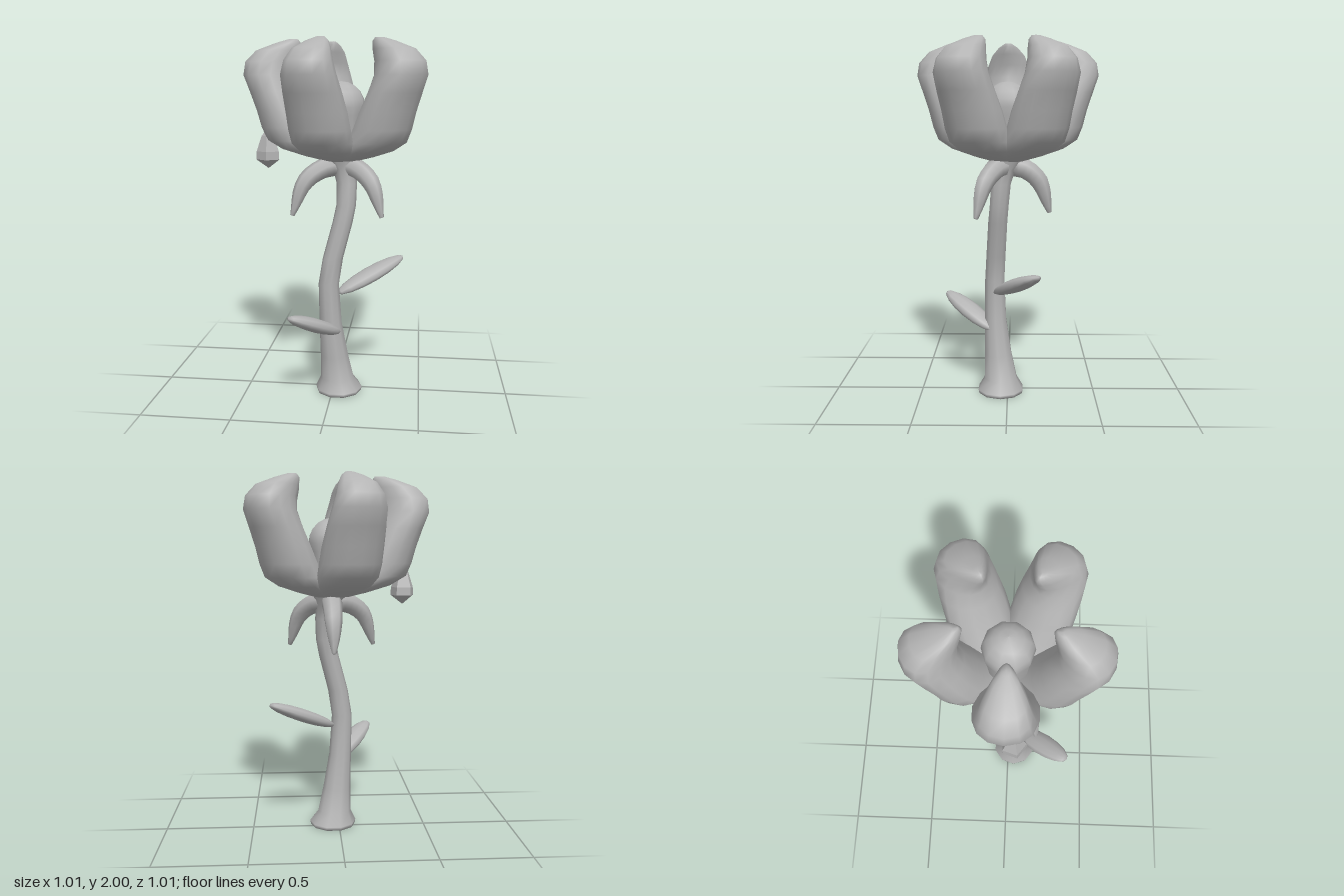
import * as THREE from 'three';

const V = (x, y, z) => new THREE.Vector3(x, y, z);

// Skin a list of equal-length rings (bottom to top) and close both ends.
function loft(rings) {
  const n = rings[0].length, pos = [], idx = [];
  rings.forEach(r => r.forEach(p => pos.push(p.x, p.y, p.z)));
  for (let i = 0; i < rings.length - 1; i++) {
    for (let j = 0; j < n; j++) {
      const a = i * n + j, b = i * n + (j + 1) % n;
      idx.push(a, a + n, b, b, a + n, b + n);
    }
  }
  [0, rings.length - 1].forEach(i => {
    const c = rings[i].reduce((s, p) => s.add(p), V(0, 0, 0)).divideScalar(n);
    const k = pos.length / 3;
    pos.push(c.x, c.y, c.z);
    for (let j = 0; j < n; j++) {
      const a = i * n + j, b = i * n + (j + 1) % n;
      if (i === 0) idx.push(k, a, b); else idx.push(k, b, a);
    }
  });
  const g = new THREE.BufferGeometry();
  g.setAttribute('position', new THREE.Float32BufferAttribute(pos, 3));
  g.setIndex(idx);
  g.computeVertexNormals();
  return g;
}

const ring = (n, f) => Array.from({ length: n }, (_, j) => {
  const a = j / n * Math.PI * 2;
  return f(Math.cos(a), Math.sin(a));
});

// Petal levels: height, inner reach, outer reach, half width, inward taper
const PETAL = [
  [1.345, 0.00, 0.10, 0.06, 0], [1.37, 0.02, 0.20, 0.11, 0],
  [1.41, 0.05, 0.33, 0.15, 0], [1.46, 0.09, 0.415, 0.165, 0],
  [1.53, 0.135, 0.445, 0.168, 0], [1.62, 0.18, 0.47, 0.165, 0],
  [1.72, 0.225, 0.505, 0.155, 0.1], [1.81, 0.255, 0.54, 0.14, 0.2],
  [1.88, 0.245, 0.53, 0.117, 0.3], [1.94, 0.225, 0.47, 0.09, 0.4],
  [1.98, 0.22, 0.36, 0.052, 0.4], [2.0, 0.235, 0.29, 0.02, 0.3],
];

// One petal leaning out from the flower axis in a given direction
function petalGeometry(degrees, reach) {
  const angle = THREE.MathUtils.degToRad(degrees);
  const ca = Math.cos(angle), sa = Math.sin(angle);
  return loft(PETAL.map(([y, ri, ro, w, k]) => ring(14, (c, s) => {
    const r = reach * ((ri + ro) / 2 + c * (ro - ri) / 2);
    const t = s * w * (1 + k * c);
    return V(0.04 + r * ca - t * sa, y, r * sa + t * ca);
  })));
}

// Round tapering sweep along a curve
function sweep(points, radii, n) {
  const curve = new THREE.CatmullRomCurve3(points);
  const steps = 10, fr = curve.computeFrenetFrames(steps, false), rings = [];
  for (let i = 0; i <= steps; i++) {
    const p = curve.getPointAt(i / steps);
    const q = i / steps * (radii.length - 1), k = Math.min(Math.floor(q), radii.length - 2);
    const r = THREE.MathUtils.lerp(radii[k], radii[k + 1], q - k);
    rings.push(ring(n, (c, s) => p.clone()
      .addScaledVector(fr.normals[i], c * r).addScaledVector(fr.binormals[i], -s * r)));
  }
  return loft(rings);
}

// Flattened oval leaf between two points, its broad side level
function leafGeometry(from, to, halfWidth, halfThick) {
  const axis = to.clone().sub(from), len = axis.length();
  axis.normalize();
  const side = axis.clone().cross(V(0, 1, 0)).normalize();
  const g = new THREE.SphereGeometry(1, 10, 8);
  g.scale(halfWidth, len / 2, halfThick);
  const m = new THREE.Matrix4().makeBasis(side, axis, side.clone().cross(axis));
  m.setPosition(from.clone().add(to).multiplyScalar(0.5));
  return g.applyMatrix4(m);
}

export function createModel() {
  const model = new THREE.Group();
  const grey = new THREE.MeshStandardMaterial({ color: 0xb4b4b4 });
  grey.name = 'plain grey';
  const add = (name, geometry) => {
    const mesh = new THREE.Mesh(geometry, grey);
    mesh.name = name;
    model.add(mesh);
    return mesh;
  };

  // Stem with flared foot: height, centre x, centre z, radius
  const stem = [
    [0, 0.035, 0.04, 0.13], [0.02, 0.035, 0.04, 0.134], [0.08, 0.025, 0.04, 0.096],
    [0.22, 0.01, 0.055, 0.08], [0.42, -0.01, 0.07, 0.064], [0.65, -0.02, 0.075, 0.058],
    [0.8, 0.003, 0.067, 0.057], [1.0, 0.055, 0.055, 0.056], [1.1, 0.075, 0.046, 0.055],
    [1.22, 0.077, 0.036, 0.057], [1.3, 0.065, 0.02, 0.066], [1.36, 0.045, 0.005, 0.1],
    [1.42, 0.04, 0, 0.12],
  ];
  add('stem', loft(stem.map(([y, x, z, r]) => ring(10, (c, s) => V(x + c * r, y, z + s * r)))));

  // Five petals: direction and reach
  [[180, 1], [34, 0.985], [-34, 0.985], [107.5, 0.963], [-107.5, 0.963]]
    .forEach(([degrees, reach]) => add('petal', petalGeometry(degrees, reach)));

  // Rounded flower centre
  const heart = [[0.1, 1.38], [0.115, 1.48]].map(p => new THREE.Vector2(...p));
  for (let i = 0; i <= 6; i++) {
    const a = -0.35 + (Math.PI / 2 + 0.35) * i / 6;
    heart.push(new THREE.Vector2(Math.max(0, 0.135 * Math.cos(a)), 1.643 + 0.135 * Math.sin(a)));
  }
  add('flowerCentre', new THREE.LatheGeometry(heart, 10)).position.x = 0.04;

  // Three drooping sepals
  [[-0.21, 0.16], [0.28, 0.165], [0.04, -0.235]].forEach(([x, z]) => {
    const at = (k, y) => V(0.045 + (x - 0.045) * k, y, z * k);
    add('sepal', sweep([at(0.1, 1.32), at(0.42, 1.3), at(0.74, 1.235), at(1, 1.055)],
      [0.06, 0.055, 0.05, 0.036, 0.012], 7));
  });

  // Two leaves on the stem
  add('upperLeaf', leafGeometry(V(0.03, 0.59, 0.065), V(0.39, 0.765, -0.165), 0.075, 0.038));
  add('lowerLeaf', leafGeometry(V(0.04, 0.365, 0.07), V(-0.2, 0.535, 0.37), 0.07, 0.04));

  // Faceted dewdrop hanging under one petal
  const drop = [[0, 1.3], [0.068, 1.35], [0.066, 1.395], [0.036, 1.48], [0, 1.53]]
    .map(p => new THREE.Vector2(...p));
  const facets = new THREE.LatheGeometry(drop, 5).toNonIndexed();
  facets.computeVertexNormals();
  add('dewdrop', facets).position.set(-0.362, 0, 0.04);

  return model;
}
